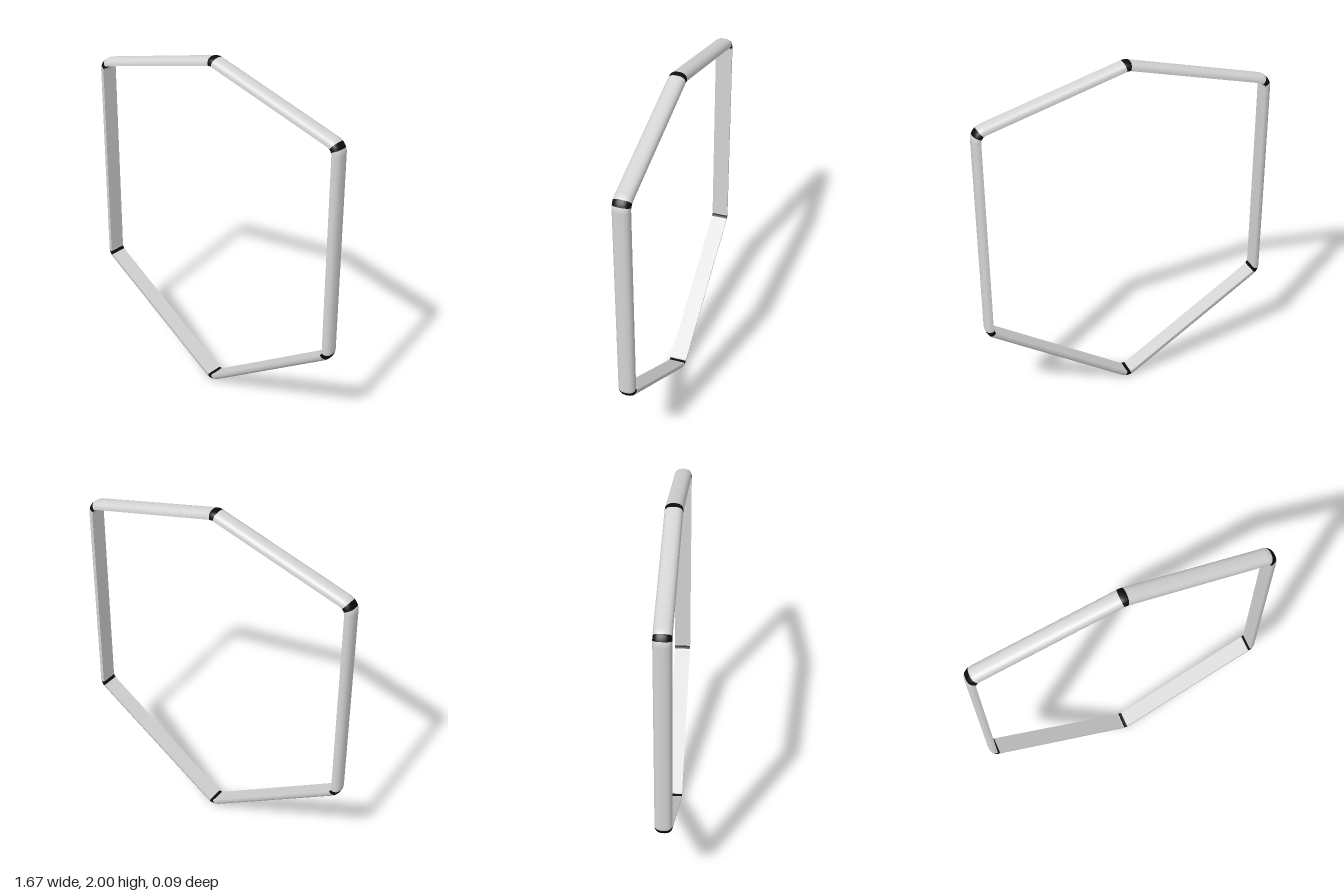
import * as THREE from 'three';

const HALF_WIDTH = 0.047;   // half size along z
const HALF_THICK = 0.02;    // half size across the bar
const FILLET = 0.06;        // corner radius of the bar's middle line
const BAND = 0.24;          // half angle of a corner joint

// D-shaped section: rounded outer side, flat inner side. [offset, z, normalOffset, normalZ]
function makeProfile(steps = 20) {
  const e = 0.8, pts = [];
  const pw = (v, k) => Math.sign(v) * Math.pow(Math.abs(v), k);
  for (let i = 0; i <= steps; i++) {
    const t = (i / steps) * Math.PI;
    const s = i === steps ? 0 : Math.sin(t), c = Math.cos(t);
    const n = new THREE.Vector2(pw(s, 2 - e) / (2 * HALF_THICK), pw(c, 2 - e) / HALF_WIDTH).normalize();
    pts.push([-HALF_THICK + 2 * HALF_THICK * pw(s, e), HALF_WIDTH * pw(c, e), n.x, n.y]);
  }
  pts.push([-HALF_THICK, -HALF_WIDTH, -1, 0], [-HALF_THICK, HALF_WIDTH, -1, 0]);
  return pts;
}

// Sweep the section through rings of { centre, angle }
function sweep(rings, profile) {
  const pos = [], nor = [], idx = [], m = profile.length;
  rings.forEach(({ centre, angle }, i) => {
    const cx = Math.cos(angle), cy = Math.sin(angle);
    profile.forEach(([o, z, no, nz], j) => {
      pos.push(centre.x + cx * (FILLET + o), centre.y + cy * (FILLET + o), z);
      nor.push(cx * no, cy * no, nz);
      if (i < rings.length - 1 && j < m - 1) {
        const a = i * m + j, b = a + 1, c = b + m, d = a + m;
        idx.push(a, b, c, a, c, d);
      }
    });
  });
  const g = new THREE.BufferGeometry();
  g.setAttribute('position', new THREE.Float32BufferAttribute(pos, 3));
  g.setAttribute('normal', new THREE.Float32BufferAttribute(nor, 3));
  g.setIndex(idx);
  return g;
}

// Rings over an arc of one corner
function arc(corner, from, to, steps) {
  return Array.from({ length: steps + 1 }, (_, i) => ({
    centre: corner.centre, angle: from + ((to - from) * i) / steps,
  }));
}

export function createModel() {
  const group = new THREE.Group();
  const lightGrey = new THREE.MeshStandardMaterial({ color: 0xd4d4d4 });
  lightGrey.name = 'lightGrey';
  const black = new THREE.MeshStandardMaterial({ color: 0x0c0c0c });
  black.name = 'black';
  const profile = makeProfile();

  // Hexagon of the bar's middle line, counter-clockwise
  const points = [
    [0, 0.009], [0.816, 0.538], [0.816, 1.758], [0, 1.982], [-0.816, 1.758], [-0.816, 0.538],
  ].map(([x, y]) => new THREE.Vector2(x, y));
  const names = ['bottom', 'lowerLeft', 'upperLeft', 'top', 'upperRight', 'lowerRight'];
  const count = points.length;

  // Fillet centre and sweep of the outward normal at each corner
  const corners = points.map((p, i) => {
    const into = p.clone().sub(points[(i + count - 1) % count]);
    const out = points[(i + 1) % count].clone().sub(p);
    const turn = Math.atan2(into.cross(out), into.dot(out));
    const start = Math.atan2(into.y, into.x) - Math.PI / 2;
    const mid = start + turn / 2;
    const reach = FILLET / Math.cos(turn / 2);
    const centre = new THREE.Vector2(p.x - Math.cos(mid) * reach, p.y - Math.sin(mid) * reach);
    return { centre, start, mid, end: start + turn };
  });

  const add = (name, rings, material) => {
    const mesh = new THREE.Mesh(sweep(rings, profile), material);
    mesh.name = name;
    group.add(mesh);
  };

  corners.forEach((c, i) => {
    const next = corners[(i + 1) % count];
    // Dark joint in the middle of the corner
    add(names[i] + 'Joint', arc(c, c.mid - BAND, c.mid + BAND, 6), black);
    // Bar from this joint to the next one, with its bent ends
    add(names[i] + 'Bar', [
      ...arc(c, c.mid + BAND, c.end, 5),
      ...arc(next, next.start, next.mid - BAND, 5),
    ], lightGrey);
  });
  return group;
}
